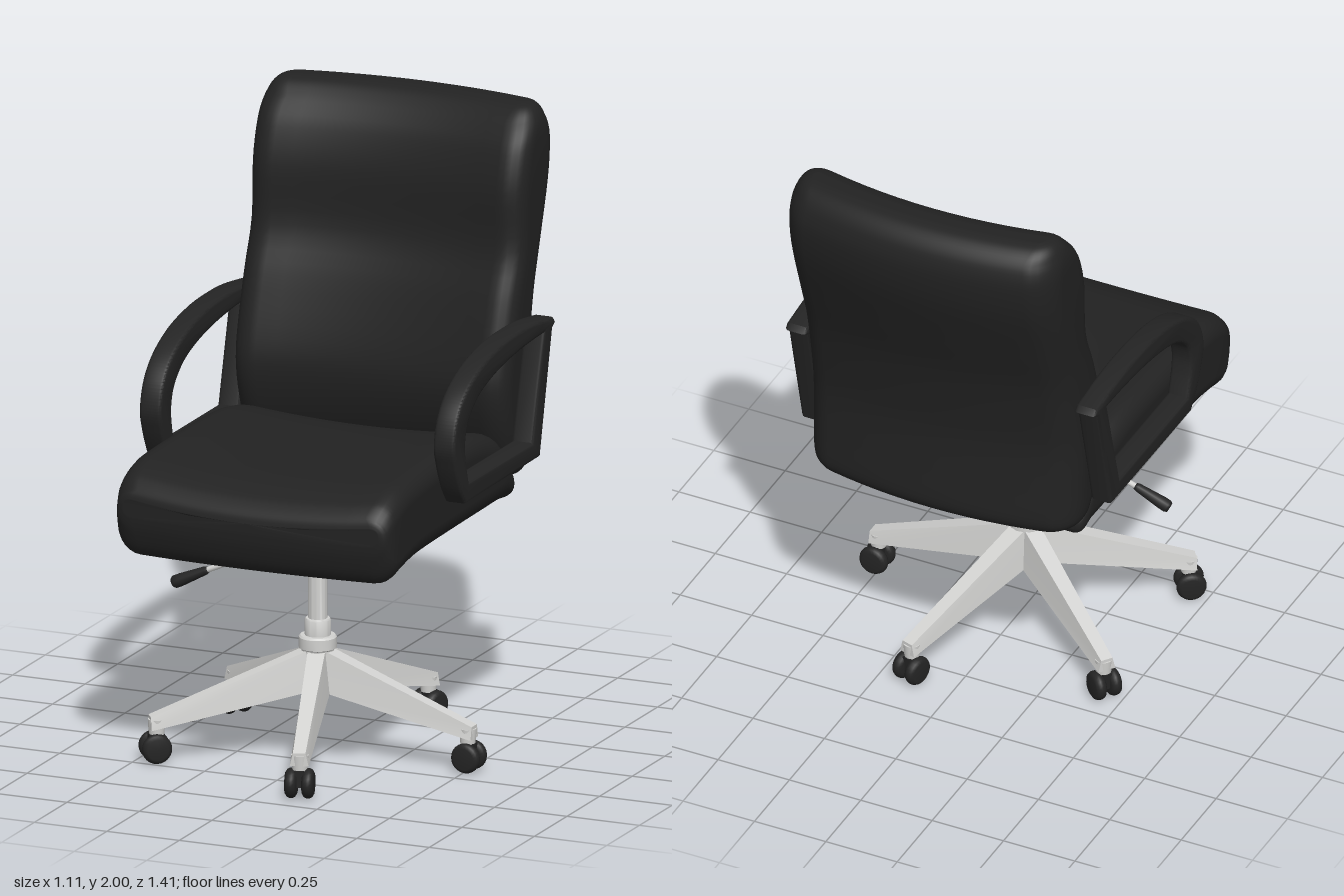
import * as THREE from 'three';
import { toCreasedNormals } from 'three/addons/utils/BufferGeometryUtils.js';

const CX = -0.015, CZ = 0.155; // centre line and swivel axis

// Rounded rectangle loop, counter-clockwise, with evenly divided long sides
function roundedLoop(hw, hh, r) {
  const pts = [], corner = 6, side = 12;
  const centres = [[1, 1], [-1, 1], [-1, -1], [1, -1]];
  centres.forEach(([sx, sy], k) => {
    for (let i = 0; i <= corner; i++) {
      const a = (k + i / corner) * Math.PI / 2;
      pts.push([sx * (hw - r) + r * Math.cos(a), sy * (hh - r) + r * Math.sin(a)]);
    }
    if (k % 2 === 0) {
      for (let i = 1; i < side; i++) pts.push([sx * (hw - r) * (1 - 2 * i / side), sy * hh]);
    }
  });
  return pts;
}

// Smooth interpolation between station rows
function smoothRows(rows, sub) {
  const out = [], at = i => rows[Math.max(0, Math.min(rows.length - 1, i))];
  for (let i = 0; i < rows.length - 1; i++) {
    for (let s = 0; s < sub; s++) {
      const t = s / sub;
      out.push(at(i).map((b, k) => {
        const a = at(i - 1)[k], c = at(i + 1)[k], d = at(i + 2)[k];
        return 0.5 * (2 * b + (c - a) * t + (2 * a - 5 * b + 4 * c - d) * t * t + (3 * b - a - 3 * c + d) * t ** 3);
      }));
    }
  }
  out.push(rows[rows.length - 1]);
  return out;
}

// Cushion lofted through stations [along, low, high, halfWidth]; place maps (x, depth, along, u, v) to a point
function cushion(rows, radius, place) {
  const pos = [], idx = [];
  const stations = smoothRows(rows, 4).map(r => [...r, 1]);
  const end = stations[stations.length - 1];
  const ends = s => [0, 0.5].map(f => [...s.slice(0, 4), f]);
  const all = [...ends(stations[0]), ...stations, ...ends(end).reverse()];
  let n = 0;
  for (const [w, low, high, hw, f] of all) {
    const hh = (high - low) / 2, loop = roundedLoop(hw, hh, Math.min(radius, hh * 0.9));
    n = loop.length;
    for (const [x, d] of loop) pos.push(...place(x * f, (low + high) / 2 + d * f, w, x * f / 0.475, d * f / hh));
  }
  for (let i = 0; i < all.length - 1; i++) {
    for (let j = 0; j < n; j++) {
      const a = i * n + j, b = i * n + (j + 1) % n, c = b + n, d = a + n;
      idx.push(a, d, b, b, d, c);
    }
  }
  const g = new THREE.BufferGeometry();
  g.setAttribute('position', new THREE.Float32BufferAttribute(pos, 3));
  g.setIndex(idx);
  g.computeVertexNormals();
  return g;
}

function armGeometry() {
  const vec = list => list.map(p => new THREE.Vector2(...p));
  const shape = new THREE.Shape();
  shape.moveTo(-0.345, 0.9);
  shape.lineTo(0.225, 0.895);
  shape.splineThru(vec([[0.265, 0.95], [0.302, 1.03], [0.318, 1.1], [0.29, 1.19], [0.22, 1.26],
    [0.1, 1.315], [-0.05, 1.345], [-0.2, 1.352], [-0.32, 1.347], [-0.45, 1.33]]));
  shape.lineTo(-0.465, 1.31);
  shape.lineTo(-0.44, 1.295);
  const hole = new THREE.Path();
  hole.moveTo(-0.285, 0.96);
  hole.lineTo(-0.375, 1.295);
  hole.splineThru(vec([[-0.25, 1.29], [-0.1, 1.275], [0.03, 1.25], [0.13, 1.215], [0.2, 1.16],
    [0.225, 1.1], [0.222, 1.04], [0.2, 0.96]]));
  shape.holes.push(hole);
  const g = new THREE.ExtrudeGeometry(shape, {
    depth: 0.051, bevelThickness: 0.012, bevelSize: 0.012, bevelOffset: -0.012, bevelSegments: 3, curveSegments: 30,
  });
  g.translate(0, 0, -0.0255).rotateY(-Math.PI / 2);
  return toCreasedNormals(g, 0.7);
}

// Tapered spoke pointing along +x, narrower on top
function legGeometry() {
  const g = new THREE.BoxGeometry(1, 1, 1), p = g.attributes.position;
  for (let i = 0; i < p.count; i++) {
    const tip = p.getX(i) > 0, top = p.getY(i) > 0;
    const half = tip ? (top ? 0.02 : 0.03) : (top ? 0.028 : 0.045);
    p.setXYZ(i, tip ? 0.54 : 0.02, tip ? (top ? 0.15 : 0.108) : (top ? 0.348 : 0.215), Math.sign(p.getZ(i)) * half);
  }
  g.computeVertexNormals();
  return g;
}

export function createModel() {
  const leather = new THREE.MeshStandardMaterial({ color: 0x222222 });
  leather.name = 'black leather';
  const plastic = new THREE.MeshStandardMaterial({ color: 0x242424 });
  plastic.name = 'black plastic';
  const metal = new THREE.MeshStandardMaterial({ color: 0xd2d2d0 });
  metal.name = 'brushed metal';

  const model = new THREE.Group();
  model.name = 'officeChair';
  const add = (name, geo, mat, x = 0, y = 0, z = 0, parent = model) => {
    const m = new THREE.Mesh(geo, mat);
    m.name = name;
    m.position.set(x, y, z);
    parent.add(m);
    return m;
  };

  // Seat: front to rear, dished on top and bowed at the front
  const seatRows = [
    [0.7, 0.86, 0.92, 0.44], [0.692, 0.81, 0.945, 0.462], [0.667, 0.745, 0.973, 0.472], [0.63, 0.72, 0.997, 0.477],
    [0.55, 0.735, 1.024, 0.477], [0.43, 0.748, 1.035, 0.473], [0.24, 0.75, 1.042, 0.467], [0, 0.75, 1.042, 0.462],
    [-0.15, 0.75, 1.02, 0.46], [-0.25, 0.75, 0.98, 0.458], [-0.33, 0.75, 0.88, 0.455],
    [-0.36, 0.76, 0.83, 0.445], [-0.37, 0.78, 0.805, 0.425]];
  add('seat', cushion(seatRows, 0.075, (x, y, z, u, v) => [
    x, y - 0.03 * Math.max(0, v) * Math.max(0, 1 - u * u), z - 0.03 * u * u * Math.max(0, z / 0.7)]), leather, CX);

  // Backrest: bottom to top, wrapping forward at both sides
  const backRows = [
    [0.822, -0.51, -0.38, 0.42], [0.83, -0.522, -0.36, 0.45], [0.87, -0.535, -0.34, 0.468], [0.98, -0.532, -0.29, 0.472],
    [1.1, -0.53, -0.262, 0.474], [1.21, -0.54, -0.272, 0.475], [1.4, -0.577, -0.328, 0.475],
    [1.555, -0.627, -0.385, 0.475], [1.74, -0.687, -0.394, 0.475], [1.86, -0.705, -0.425, 0.474],
    [1.925, -0.695, -0.462, 0.47], [1.965, -0.672, -0.497, 0.458], [1.99, -0.64, -0.53, 0.436], [2, -0.605, -0.565, 0.405]];
  add('backrest', cushion(backRows, 0.09, (x, z, y, u) => [x, y, z + 0.065 * u * u]), leather, CX);

  // Loop armrests
  const arm = armGeometry();
  add('leftArmrest', arm, plastic, CX + 0.507);
  add('rightArmrest', arm, plastic, CX - 0.507);

  // Mounting plate and tilt housing
  add('mountingPlate', new THREE.BoxGeometry(0.38, 0.03, 0.38), plastic, CX, 0.742, CZ);
  add('tiltHousing', toCreasedNormals(new THREE.CylinderGeometry(0.1, 0.065, 0.05, 32), 0.6), plastic, CX, 0.705, CZ);

  // Height lever
  const lever = new THREE.CatmullRomCurve3([[-0.12, 0.74, 0.17], [-0.155, 0.705, 0.175], [-0.228, 0.635, 0.185],
    [-0.25, 0.621, 0.187], [-0.4, 0.555, 0.2]].map(p => new THREE.Vector3(...p)));
  add('leverRod', new THREE.TubeGeometry(lever, 30, 0.009, 10), metal);
  const gripStart = new THREE.Vector3(-0.375, 0.566, 0.198), gripEnd = new THREE.Vector3(-0.492, 0.512, 0.207);
  const gripDir = gripEnd.clone().sub(gripStart);
  const gripProfile = [[0, 0], [0.011, 0], [0.014, 0.01], [0.021, 0.1], [0.021, 0.12], [0.016, 0.128], [0, 0.129]];
  const grip = add('leverGrip', new THREE.LatheGeometry(gripProfile.map(p => new THREE.Vector2(...p)), 16), plastic,
    ...gripStart.toArray());
  grip.quaternion.setFromUnitVectors(new THREE.Vector3(0, 1, 0), gripDir.normalize());

  // Column and stepped hub
  const hubProfile = [[0, 0.2], [0.032, 0.2], [0.04, 0.22], [0.052, 0.34], [0.06, 0.345], [0.06, 0.38], [0.055, 0.386],
    [0.041, 0.386], [0.041, 0.436], [0.038, 0.441], [0.03, 0.441], [0.03, 0.7]];
  const hub = new THREE.LatheGeometry(hubProfile.map(p => new THREE.Vector2(...p)), 32);
  add('columnAndHub', toCreasedNormals(hub, 0.6), metal, CX, 0, CZ);

  // Five spokes with twin-wheel casters
  const legGeo = legGeometry();
  const stemGeo = new THREE.CylinderGeometry(0.028, 0.024, 0.05, 20);
  const wheelProfile = [[0, -0.019], [0.034, -0.019], [0.044, -0.013], [0.048, -0.004], [0.048, 0.004],
    [0.044, 0.013], [0.034, 0.019], [0, 0.019]];
  const wheelGeo = new THREE.LatheGeometry(wheelProfile.map(p => new THREE.Vector2(...p)), 24).rotateX(Math.PI / 2);
  const coreGeo = new THREE.BoxGeometry(0.045, 0.055, 0.03);
  for (let i = 0; i < 5; i++) {
    const spoke = new THREE.Group();
    spoke.name = 'spoke' + (i + 1);
    spoke.position.set(CX, 0, CZ);
    spoke.rotation.y = i * Math.PI * 2 / 5;
    model.add(spoke);
    add('leg', legGeo, metal, 0, 0, 0, spoke);
    add('casterStem', stemGeo, metal, 0.518, 0.115, 0, spoke);
    add('casterCore', coreGeo, plastic, 0.522, 0.065, 0, spoke);
    for (const s of [-1, 1]) add('casterWheel', wheelGeo, plastic, 0.522, 0.048, s * 0.027, spoke);
  }
  return model;
}
